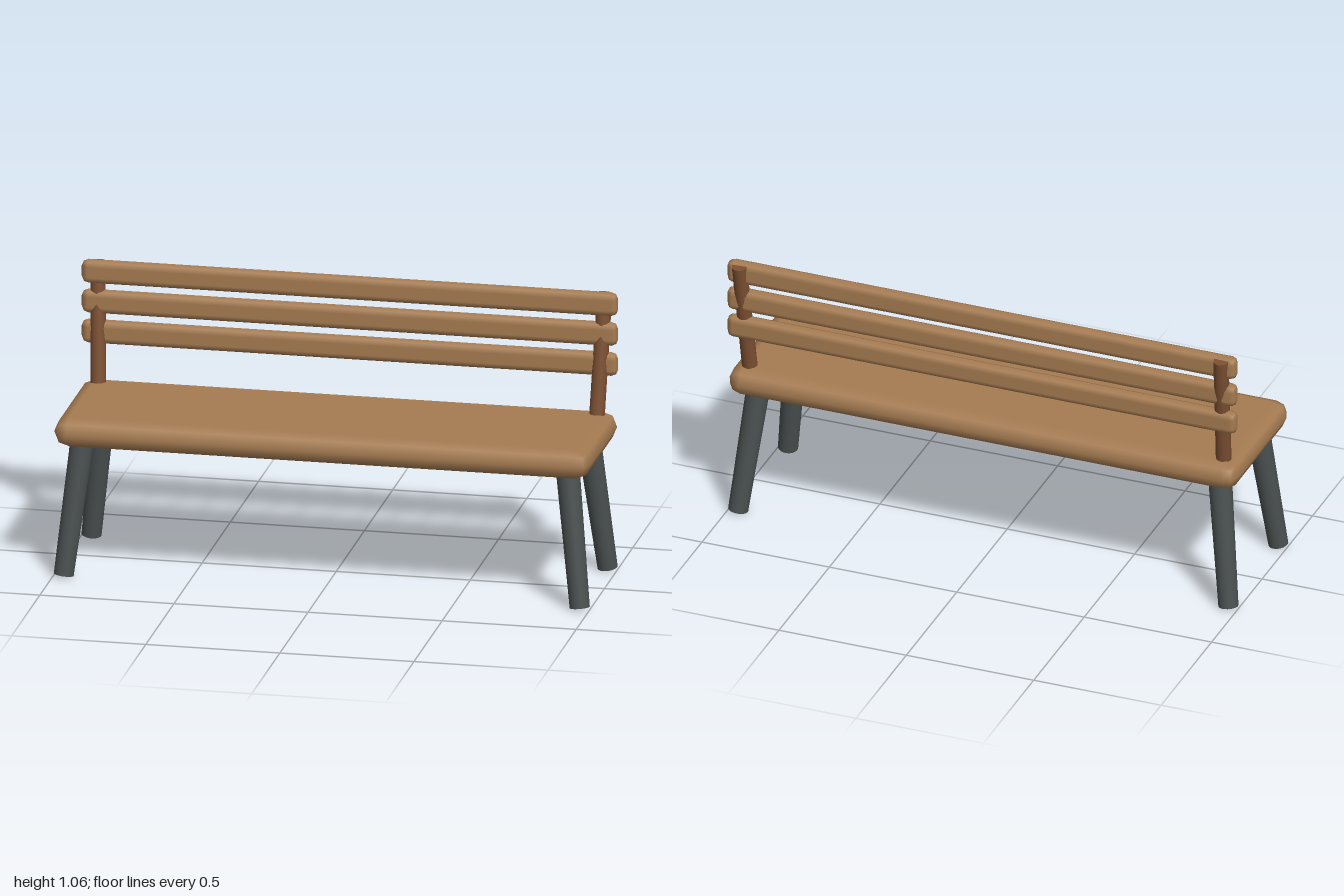
import * as THREE from 'three';
import { RoundedBoxGeometry } from 'three/addons/geometries/RoundedBoxGeometry.js';

const paint = (name, color) => {
  const material = new THREE.MeshStandardMaterial({ color });
  material.name = name;
  return material;
};

// Round bar running from one point to another
function bar(name, from, to, rFrom, rTo, material) {
  const a = new THREE.Vector3(...from);
  const axis = new THREE.Vector3(...to).sub(a);
  const mesh = new THREE.Mesh(new THREE.CylinderGeometry(rTo, rFrom, axis.length(), 20), material);
  mesh.position.copy(a).addScaledVector(axis, 0.5);
  mesh.quaternion.setFromUnitVectors(new THREE.Vector3(0, 1, 0), axis.normalize());
  mesh.name = name;
  return mesh;
}

// Long plank with softened edges
function plank(name, height, depth, radius, y, z, material) {
  const mesh = new THREE.Mesh(new RoundedBoxGeometry(2, height, depth, 1, radius), material);
  mesh.position.set(0, y, z);
  mesh.name = name;
  return mesh;
}

export function createModel() {
  const wood = paint('light wood', 0xa67c52);
  const darkWood = paint('dark wood', 0x7b4f32);
  const metal = paint('dark grey metal', 0x4a5050);
  const bench = new THREE.Group();
  bench.name = 'bench';

  // Seat and three back slats
  bench.add(plank('seat', 0.11, 0.58, 0.055, 0.55, 0.01, wood));
  [0.784, 0.899, 1.013].forEach((y, i) =>
    bench.add(plank('backSlat' + (i + 1), 0.091, 0.054, 0.026, y, -0.244, wood)));

  for (const [side, s] of [['left', 1], ['right', -1]]) {
    // Splayed, tapered legs
    for (const [end, e] of [['Front', 1], ['Back', -1]]) {
      bench.add(bar(side + end + 'Leg',
        [s * 0.962, 0.007, 0.01 + e * 0.247], [s * 0.904, 0.52, 0.01 + e * 0.186],
        0.037, 0.044, metal));
    }
    // Leaning post that carries the slats
    bench.add(bar(side + 'BackPost',
      [s * 0.926, 0.485, -0.186], [s * 0.945, 1.048, -0.268], 0.029, 0.028, darkWood));
  }
  return bench;
}
